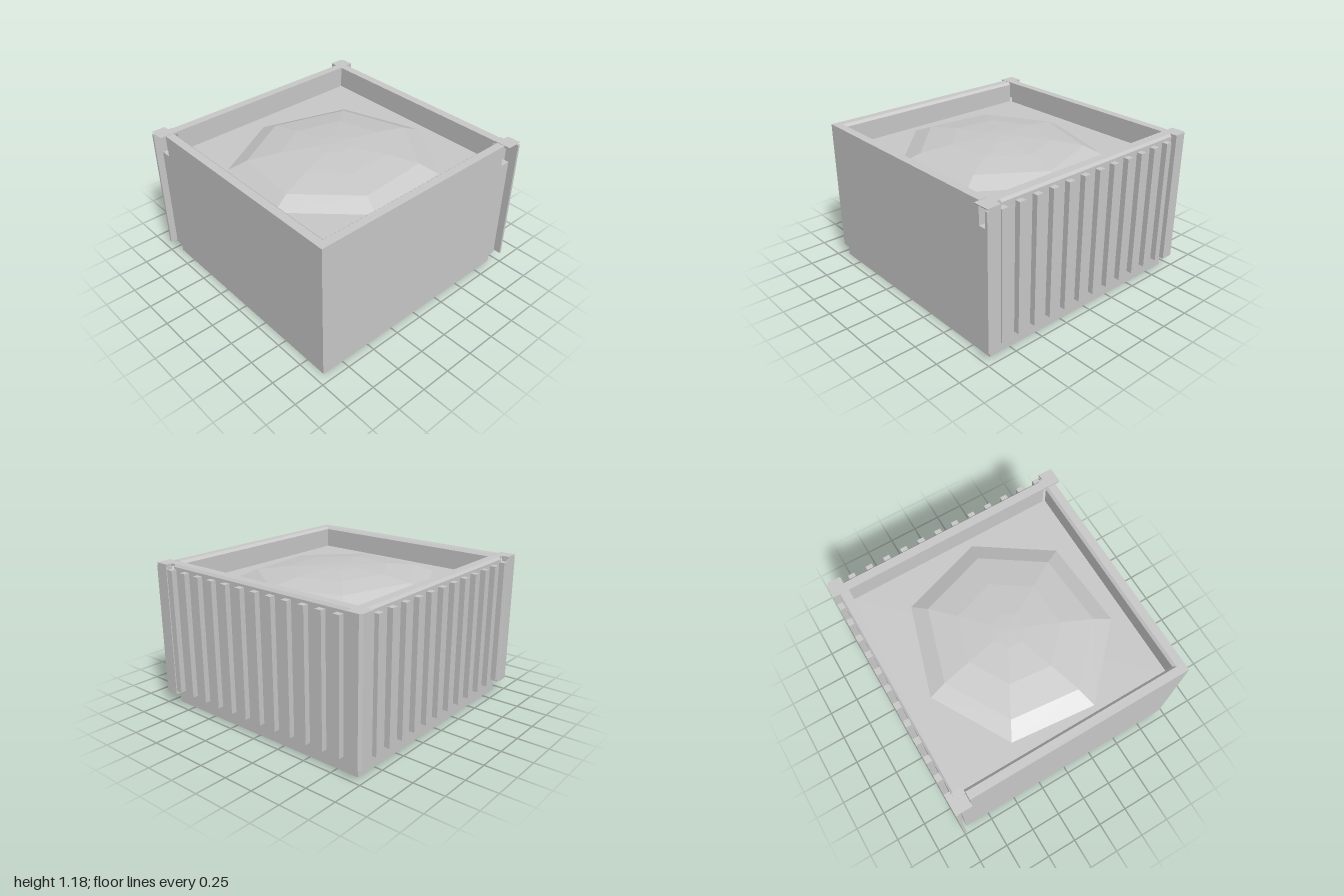
import * as THREE from 'three';

const grey = new THREE.MeshStandardMaterial({ color: 0xc8c8c8, side: THREE.DoubleSide });
grey.name = 'grey';

// Upright prism from [x, z] outline points
function prism(pts, y0, y1) {
  const shape = new THREE.Shape(pts.map(([x, z]) => new THREE.Vector2(x, -z)));
  const g = new THREE.ExtrudeGeometry(shape, { depth: y1 - y0, bevelEnabled: false });
  return g.rotateX(-Math.PI / 2).translate(0, y0, 0);
}

// Rail along z from [x, y] section points
function rail(pts, z0, z1) {
  const shape = new THREE.Shape(pts.map(([x, y]) => new THREE.Vector2(x, y)));
  const g = new THREE.ExtrudeGeometry(shape, { depth: z1 - z0, bevelEnabled: false });
  return g.translate(0, 0, z0);
}

function box(x0, x1, y0, y1, z0, z1) {
  return new THREE.BoxGeometry(x1 - x0, y1 - y0, z1 - z0)
    .translate((x0 + x1) / 2, (y0 + y1) / 2, (z0 + z1) / 2);
}

// Box without its bottom face
function openBox(...bounds) {
  const g = box(...bounds);
  const index = Array.from(g.index.array);
  index.splice(18, 6);
  g.setIndex(index);
  g.clearGroups();
  return g;
}

// Mirror across the diagonal (x, z) -> (-z, -x), restoring face order
function mirrored(source) {
  const g = source.index ? source.toNonIndexed() : source.clone();
  for (const name of ['position', 'normal']) {
    const a = g.attributes[name];
    for (let i = 0; i < a.count; i++) a.setXYZ(i, -a.getZ(i), a.getY(i), -a.getX(i));
    for (let i = 0; i < a.count; i += 3) {
      const p = [a.getX(i + 1), a.getY(i + 1), a.getZ(i + 1)];
      a.setXYZ(i + 1, a.getX(i + 2), a.getY(i + 2), a.getZ(i + 2));
      a.setXYZ(i + 2, ...p);
    }
  }
  g.clearGroups();
  return g;
}

// Faceted mound: one uneven outline shrunk ring by ring
function moundGeometry() {
  const outline = [[0.81, 0.15], [0.43, 0.71], [-0.29, 0.76], [-0.8, 0.27],
    [-0.73, -0.4], [-0.13, -0.74], [0.59, -0.52]];
  const rings = [[1, 0.998], [0.81, 1.065], [0.5, 1.1], [0.17, 1.117], [0, 1.12]];
  const n = outline.length;
  const positions = [];
  const index = [];
  for (const [s, y] of rings) for (const [x, z] of outline) positions.push(x * s, y, z * s);
  for (let r = 0; r < rings.length - 1; r++) {
    for (let i = 0; i < n; i++) {
      const a = r * n + i, b = r * n + (i + 1) % n;
      index.push(a, a + n, b);
      if (r < rings.length - 2) index.push(b, a + n, b + n);
    }
  }
  const g = new THREE.BufferGeometry();
  g.setAttribute('position', new THREE.Float32BufferAttribute(positions, 3));
  g.setIndex(index);
  const flat = g.toNonIndexed();
  flat.computeVertexNormals();
  return flat;
}

export function createModel() {
  const model = new THREE.Group();
  model.name = 'planterBox';
  const add = (name, geometry) => {
    const mesh = new THREE.Mesh(geometry, grey);
    mesh.name = name;
    model.add(mesh);
  };
  const addPair = (nameA, nameB, geometry) => {
    add(nameA, geometry);
    add(nameB, mirrored(geometry));
  };

  // Thin inner box: four sides and the flat fill, open underneath
  add('innerBox', openBox(-0.93, 0.93, 0, 1, -0.93, 0.93));
  add('mound', moundGeometry());

  // Ribbed walls: thin cladding below, thick bevelled rim above the fill
  addPair('ribbedWallSide', 'ribbedWallBack', rail(
    [[0.93, 0.1], [0.955, 0.1], [0.955, 1.16], [0.94, 1.18], [0.87, 1.18], [0.87, 1], [0.93, 1]],
    -0.88, 0.85));
  addPair('ribbedWallEndSide', 'ribbedWallEndBack', box(0.93, 0.955, 0.1, 1, 0.85, 0.955));

  // Ribs
  for (let i = 0; i < 12; i++) {
    const z = 0.853 - i * 0.15;
    addPair('ribSide', 'ribBack', openBox(0.95, 1, 0.13, 1.14, z - 0.027, z + 0.027));
  }

  // Plain walls, bevelled on the inner top edge, with a notch at one end
  addPair('plainWallSide', 'plainWallFront', rail(
    [[-0.955, 0.1], [-0.93, 0.1], [-0.93, 1], [-0.87, 1], [-0.87, 1.16], [-0.89, 1.18], [-0.955, 1.18]],
    -0.865, 0.955));
  addPair('notchStepSide', 'notchStepFront', box(-0.955, -0.93, 0.1, 1, -0.955, -0.865));

  // Overlapping end flanges
  addPair('flangeFront', 'flangeBack', prism(
    [[1, 1], [1, 0.89], [0.99, 0.88], [0.95, 0.88], [0.95, 0.9], [0.98, 0.9], [0.98, 1]], 0.1, 1.16));

  // Flange caps with a sloped underside, bridged to the ribbed walls
  const cap = box(0.87, 1, 1.16, 1.18, 0.885, 1);
  const p = cap.attributes.position;
  for (let i = 0; i < p.count; i++) {
    if (p.getY(i) < 1.17 && p.getZ(i) > 0.95) p.setZ(i, 0.98);
  }
  cap.computeVertexNormals();
  addPair('capFront', 'capBack', cap);
  addPair('capBridgeFront', 'capBridgeBack', box(0.87, 0.95, 1.16, 1.18, 0.85, 0.885));

  // Corner post between the ribbed walls, wrapping the inner box
  add('cornerPost', prism([[0.87, -0.93], [0.87, -1], [0.98, -1], [1, -0.98],
    [1, -0.88], [0.93, -0.88], [0.93, -0.93]], 0.1, 1));
  add('cornerPostTop', prism(
    [[0.87, -0.88], [0.87, -1], [0.98, -1], [1, -0.98], [1, -0.88]], 1, 1.18));

  return model;
}
